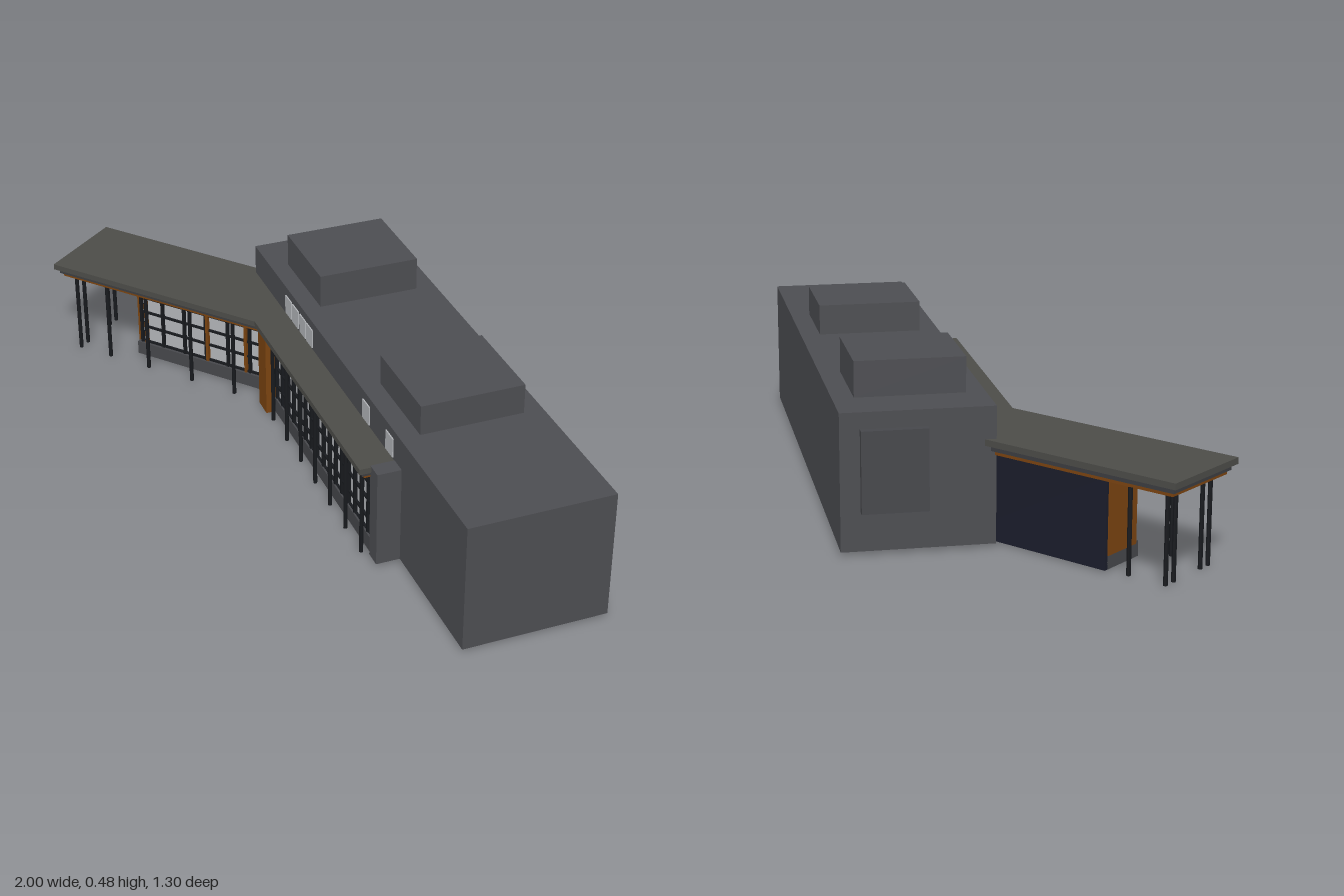
import * as THREE from 'three';

const mat = (color) => new THREE.MeshStandardMaterial({ color, flatShading: true });
const M = {
  wall: mat(0x4c4d51), roof: mat(0x4c4c48), fascia: mat(0x3c3d40), wood: mat(0x7a4310),
  navy: mat(0x1b1d2b), glass: mat(0xb2b4b8), steel: mat(0x17191d), plinth: mat(0x46474b),
};

// Box given by its min/max extents
function box(parent, name, material, [x0, x1], [y0, y1], [z0, z1]) {
  const mesh = new THREE.Mesh(new THREE.BoxGeometry(x1 - x0, y1 - y0, z1 - z0), material);
  mesh.position.set((x0 + x1) / 2, (y0 + y1) / 2, (z0 + z1) / 2);
  mesh.name = name;
  parent.add(mesh);
  return mesh;
}

function post(parent, x, z) {
  const mesh = new THREE.Mesh(new THREE.CylinderGeometry(0.006, 0.006, 0.25, 8), M.steel);
  mesh.position.set(x, 0.128, z);
  mesh.name = 'post';
  parent.add(mesh);
}

// Glazed front facing +z: pane, mullions and rails
function glazing(parent, name, x0, x1, z, bays, rails) {
  const g = new THREE.Group();
  g.name = name;
  box(g, 'glassPane', M.glass, [x0, x1], [0.045, 0.25], [z - 0.008, z]);
  for (let i = 0; i <= bays; i++) {
    const x = x0 + ((x1 - x0) * i) / bays;
    box(g, 'mullion', M.steel, [x - 0.004, x + 0.004], [0.045, 0.25], [z - 0.004, z + 0.01]);
  }
  for (const y of rails) box(g, 'rail', M.steel, [x0, x1], [y - 0.003, y + 0.003], [z - 0.004, z + 0.007]);
  parent.add(g);
}

// Flat bent roof layer from a plan outline, shrunk at its free edges
function roofLayer(parent, name, material, inset, y, depth) {
  const i = inset;
  const plan = [
    [-1 + i, -0.36 + i], [-0.35, -0.36 + i], [0.433 - 0.7 * i, 0.323 - 0.7 * i],
    [0.335 - 0.1 * i, 0.44 - 1.4 * i], [-0.29 + 0.35 * i, -0.08 - i], [-1 + i, -0.08 - i],
  ];
  const shape = new THREE.Shape(plan.map(([x, z]) => new THREE.Vector2(x, -z)));
  const geo = new THREE.ExtrudeGeometry(shape, { depth, bevelEnabled: false });
  geo.rotateX(-Math.PI / 2);
  const mesh = new THREE.Mesh(geo, material);
  mesh.position.y = y;
  mesh.name = name;
  parent.add(mesh);
}

export function createModel() {
  const root = new THREE.Group();
  root.name = 'building';

  // Long main hall, turned about the vertical axis
  const hall = new THREE.Group();
  hall.name = 'mainHall';
  hall.position.x = 0.28;
  hall.rotation.y = -0.696;
  root.add(hall);
  box(hall, 'hallBlock', M.wall, [-0.768, 0.768], [0.01, 0.38], [-0.2025, 0.2025]);
  box(hall, 'roofUnit', M.wall, [-0.627, -0.357], [0.38, 0.477], [-0.145, 0.15]);
  box(hall, 'roofUnit', M.wall, [0.082, 0.352], [0.38, 0.466], [-0.147, 0.147]);
  box(hall, 'endPanel', M.plinth, [-0.789, -0.768], [0.115, 0.335], [-0.15, 0.025]);

  // Clerestory windows above the gallery roof
  for (const x of [-0.475, -0.417, -0.358, -0.304, 0.124, 0.286])
    box(hall, 'clerestoryWindow', M.glass, [x - 0.024, x + 0.024], [0.298, 0.355], [0.2, 0.206]);

  // Glazed gallery along the hall
  box(hall, 'galleryFloor', M.plinth, [-0.5, 0.33], [0.004, 0.05], [0.19, 0.262]);
  box(hall, 'galleryBack', M.wall, [-0.5, 0.33], [0.05, 0.25], [0.19, 0.24]);
  glazing(hall, 'galleryGlazing', -0.44, 0.32, 0.25, 16, [0.05, 0.09, 0.15, 0.205]);
  for (let i = 0; i < 7; i++) post(hall, -0.4 + i * 0.115, 0.282);
  box(hall, 'endPylon', M.wall, [0.318, 0.366], [0.01, 0.294], [0.19, 0.27]);
  box(hall, 'cornerPier', M.wood, [-0.508, -0.445], [0, 0.256], [0.19, 0.288]);

  // Lobby under the canopy
  const lobby = new THREE.Group();
  lobby.name = 'lobby';
  root.add(lobby);
  box(lobby, 'lobbyPlinth', M.plinth, [-0.765, -0.25], [0.003, 0.045], [-0.3, -0.165]);
  box(lobby, 'lobbyCore', M.wood, [-0.76, -0.26], [0.045, 0.25], [-0.3, -0.19]);
  box(lobby, 'lobbyBackWall', M.navy, [-0.765, -0.3], [0.003, 0.25], [-0.31, -0.298]);
  box(lobby, 'lobbySideWall', M.wood, [-0.768, -0.755], [0.04, 0.25], [-0.3, -0.178]);
  glazing(lobby, 'lobbyGlazing', -0.752, -0.29, -0.18, 6, [0.048, 0.1, 0.15, 0.2]);
  for (const x of [-0.735, -0.515, -0.38])
    box(lobby, 'woodMullion', M.wood, [x - 0.004, x + 0.004], [0.045, 0.25], [-0.184, -0.168]);

  // Canopy posts: two corner clusters and a front row
  const canopy = new THREE.Group();
  canopy.name = 'canopy';
  root.add(canopy);
  for (const [x, z] of [[-0.94, 0.095], [-0.94, 0.06], [-0.83, 0.095]])
    for (const s of [-1, 1]) post(canopy, x, -0.205 + s * z);
  for (const x of [-0.69, -0.535, -0.385]) post(canopy, x, -0.11);

  // Bent roof over lobby and gallery: slab, stepped fascia, wood soffit
  roofLayer(canopy, 'roofSlab', M.roof, 0, 0.275, 0.017);
  roofLayer(canopy, 'roofFascia', M.fascia, 0.012, 0.26, 0.015);
  roofLayer(canopy, 'woodSoffit', M.wood, 0.02, 0.249, 0.011);

  return root;
}
